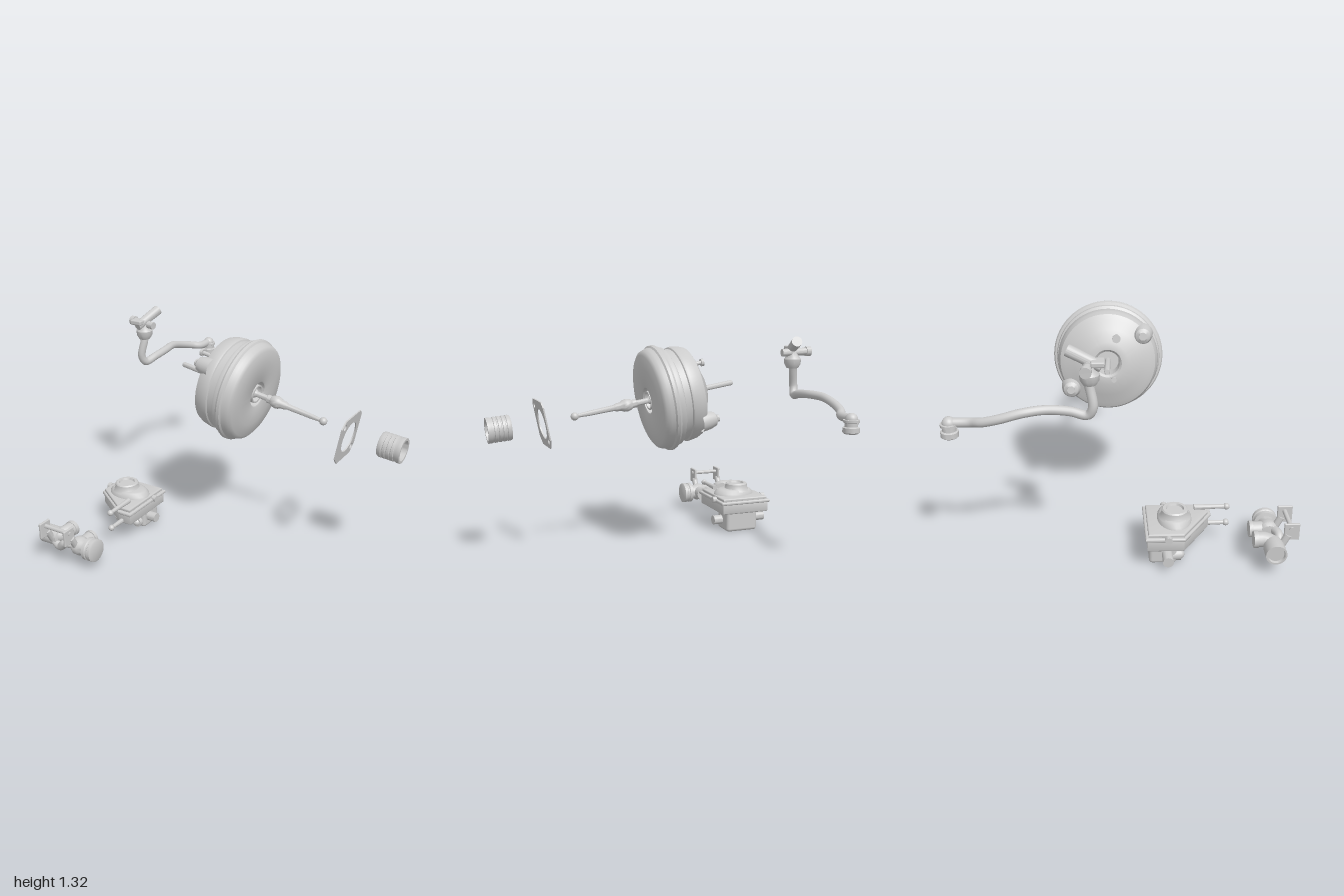
import * as THREE from 'three';
import { toCreasedNormals } from 'three/addons/utils/BufferGeometryUtils.js';
import { RoundedBoxGeometry } from 'three/addons/geometries/RoundedBoxGeometry.js';

const V = (x, y, z) => new THREE.Vector3(x, y, z);
const UP = V(0, 1, 0);
const AXIS = V(0.985, -0.165, 0.035).normalize();
const HUB = V(0, 0.947, -0.067);
const material = new THREE.MeshStandardMaterial({ color: 0xcccccc, side: THREE.DoubleSide });

export function createModel() {
  const root = new THREE.Group();
  let parent = root;
  const section = (name) => {
    parent = new THREE.Group();
    parent.name = name;
    root.add(parent);
  };
  const add = (name, geo, pos = V(0, 0, 0)) => {
    const m = new THREE.Mesh(geo, material);
    m.name = name;
    m.position.copy(pos);
    parent.add(m);
    return m;
  };
  // Revolved part: profile is [radius, distance along dir] from pos
  const turned = (name, profile, pos, dir = UP, seg = 32) => {
    const geo = new THREE.LatheGeometry(profile.map(([r, s]) => new THREE.Vector2(r, s)), seg);
    const m = add(name, toCreasedNormals(geo, 0.6), pos);
    m.quaternion.setFromUnitVectors(UP, dir.clone().normalize());
    return m;
  };
  const rod = (name, a, b, r, r2 = r, seg = 20) => {
    const dir = b.clone().sub(a), l = dir.length();
    return turned(name, [[0, 0], [r, 0], [r2, l], [0, l]], a, dir, seg);
  };
  const pipe = (name, pts, r) =>
    add(name, new THREE.TubeGeometry(new THREE.CatmullRomCurve3(pts.map((p) => V(...p))), 60, r, 16));
  const ball = (name, r, pos) => add(name, new THREE.SphereGeometry(r, 24, 16), pos);
  const box = (name, w, h, d, pos, r = 0.012) => add(name, new RoundedBoxGeometry(w, h, d, 3, r), pos);
  // Point at distance s along the booster axis, offset up and sideways on its face
  const onAxis = (s, dy = 0, dz = 0) => HUB.clone().addScaledVector(AXIS, s).add(V(0.167 * dy, dy, dz));

  // Vacuum drum with pressed ridges and a recess in both faces
  section('booster');
  turned('drum', [
    [0, -0.22], [0.062, -0.22], [0.068, -0.3], [0.08, -0.312], [0.12, -0.312], [0.19, -0.275],
    [0.245, -0.255], [0.272, -0.24], [0.284, -0.212], [0.291, -0.165], [0.288, -0.153], [0.28, -0.148],
    [0.282, -0.11], [0.298, -0.102], [0.302, -0.09], [0.3, -0.072], [0.315, -0.068], [0.322, -0.055],
    [0.32, -0.038], [0.31, -0.03], [0.305, -0.01], [0.296, 0.012], [0.275, 0.026], [0.2, 0.032],
    [0.085, 0.034], [0.078, 0.03], [0.072, -0.06], [0, -0.06],
  ], HUB, AXIS, 72);
  for (const [dy, dz] of [[0.15, 0.2], [-0.15, -0.21]]) {
    turned('mountingBoss', [[0, -0.305], [0.02, -0.305], [0.042, -0.29], [0.055, -0.25], [0.06, -0.2]],
      onAxis(0, dy, dz), AXIS, 24);
    turned('bossRing', [[0.012, -0.315], [0.022, -0.315], [0.022, -0.29]], onAxis(0, dy, dz), AXIS, 16);
  }
  rod('stud', onAxis(-0.37, 0.15, 0.05), onAxis(-0.24, 0.15, 0.05), 0.013);
  rod('studHead', onAxis(-0.376, 0.15, 0.05), onAxis(-0.36, 0.15, 0.05), 0.023);
  rod('lowerStud', onAxis(-0.335, -0.09, 0.035), onAxis(-0.25, -0.09, 0.035), 0.015);
  turned('faceRing', [[0.048, -0.02], [0.058, -0.02], [0.058, 0.02], [0.048, 0.02]], onAxis(0.01), AXIS, 32);

  // Push rod with collar and ball tip
  section('pushRod');
  turned('rod', [
    [0, -0.525], [0.014, -0.525], [0.016, -0.52], [0.016, -0.2], [0.03, -0.19], [0.03, 0.01], [0.017, 0.03],
    [0.017, 0.1], [0.025, 0.105], [0.025, 0.13], [0.033, 0.14], [0.039, 0.165], [0.036, 0.185], [0.025, 0.205],
    [0.025, 0.23], [0.018, 0.245], [0.015, 0.4], [0.011, 0.47], [0, 0.48],
  ], HUB, AXIS, 24);
  ball('ballTip', 0.024, onAxis(0.487));

  // Flange gasket: rounded plate with bore and two bolt holes
  section('gasket');
  const plate = new THREE.Shape();
  const outline = [[-0.105, 0.14], [0.095, 0.14], [0.125, 0.11], [0.125, -0.05], [0.125, -0.085],
    [0.085, -0.14], [-0.095, -0.14], [-0.14, -0.095], [-0.14, 0.1]];
  plate.setFromPoints(outline.map(([x, y]) => new THREE.Vector2(x, y)));
  for (const [x, y, r] of [[0, 0, 0.092], [-0.1, 0.1, 0.018], [0.085, -0.095, 0.018]])
    plate.holes.push(new THREE.Path().absarc(x, y, r, 0, Math.PI * 2, true));
  add('gasketPlate', new THREE.ExtrudeGeometry(plate, { depth: 0.008, bevelEnabled: false, curveSegments: 24 })
    .rotateY(Math.PI / 2).rotateZ(-0.2), V(0.658, 0.828, 0));

  // Open grooved sleeve
  section('sleeve');
  const wall = [[0.06, 0.068], [0.06, -0.068], [0.07, -0.07]];
  for (let i = 0; i < 4; i++) {
    const s = -0.06 + i * 0.025;
    wall.push([0.075, s], [0.075, s + 0.014], [0.071, s + 0.017], [0.071, s + 0.022]);
  }
  wall.push([0.075, 0.045], [0.075, 0.068], [0.06, 0.068]);
  turned('sleeveWall', wall, V(0.925, 0.812, -0.022), V(1, -0.1, 0.02), 40);

  // Vacuum hose with check valve and end cap
  section('vacuumHose');
  pipe('hose', [[-0.885, 1.17, -0.2], [-0.89, 1.1, -0.18], [-0.905, 1.0, -0.165], [-0.895, 0.955, -0.19],
    [-0.88, 0.97, -0.28], [-0.88, 0.98, -0.4], [-0.905, 0.975, -0.52], [-0.91, 0.945, -0.64],
    [-0.89, 0.92, -0.73], [-0.855, 0.905, -0.79], [-0.85, 0.903, -0.9]], 0.025);
  ball('hoseElbow', 0.036, V(-0.85, 0.9, -0.9));
  turned('endCap', [[0, 0], [0.036, 0], [0.047, 0.008], [0.047, 0.035], [0.037, 0.04], [0.037, 0.06],
    [0.046, 0.064], [0.046, 0.078], [0, 0.085]], V(-0.85, 0.82, -0.9));
  turned('valveBody', [[0, 0], [0.035, 0.005], [0.05, 0.03], [0.052, 0.06], [0.035, 0.085], [0.03, 0.13], [0, 0.13]],
    V(-0.885, 1.115, -0.18));
  rod('sidePort', V(-0.995, 1.222, -0.2), V(-0.81, 1.215, -0.18), 0.024);
  rod('portLip', V(-0.995, 1.222, -0.2), V(-0.965, 1.222, -0.197), 0.03);
  rod('outletStub', V(-0.895, 1.215, -0.12), V(-0.85, 1.29, -0.29), 0.028, 0.032);
  box('valveTab', 0.08, 0.03, 0.07, V(-0.9, 1.24, -0.14), 0.008);

  // Fluid reservoir: stacked layers of one five-sided plan
  section('reservoir');
  const layer = (name, inset, y, h) => {
    const c = [-0.74, 0.28], plan = [[-0.9, 0.12], [-0.57, 0.12], [-0.57, 0.485], [-0.65, 0.485], [-0.9, 0.32]];
    const pts = plan.map(([x, z]) => new THREE.Vector2(
      c[0] + (x - c[0]) * inset, -(c[1] + (z - c[1]) * inset)));
    const geo = new THREE.ExtrudeGeometry(new THREE.Shape(pts),
      { depth: h, bevelSize: 0.01, bevelThickness: 0.008, bevelSegments: 3 });
    add(name, toCreasedNormals(geo.rotateX(-Math.PI / 2), 0.6), V(0, y, 0));
  };
  layer('tank', 0.93, 0.135, 0.06);
  layer('rim', 1, 0.2, 0.006);
  layer('lid', 0.9, 0.215, 0.01);
  const dome = turned('dome', [[0.098, 0], [0.095, 0.025], [0.08, 0.045], [0.07, 0.05], [0, 0.05]],
    V(-0.72, 0.22, 0.28));
  dome.scale.x = 1.42;
  turned('fillerCap', [[0.09, 0], [0.075, 0.02], [0.073, 0.045], [0.066, 0.052], [0.05, 0.052], [0.045, 0.04], [0, 0.04]],
    V(-0.74, 0.255, 0.28));
  box('lowerTank', 0.22, 0.15, 0.155, V(-0.72, 0.078, 0.213), 0.02);
  for (const x of [-0.8, -0.655]) {
    rod('feedPort', V(x, 0.045, 0.26), V(x, 0.045, 0.315), 0.033);
    ball('feedPortEnd', 0.025, V(x, 0.045, 0.31));
  }
  for (const s of [-1, 1]) {
    rod('sideEar', V(-0.735 + s * 0.1, 0.07, 0.235), V(-0.735 + s * 0.185, 0.07, 0.235), 0.03);
    rod('sideClip', V(-0.735 + s * 0.165, 0.21, 0.235), V(-0.735 + s * 0.192, 0.21, 0.235), 0.02);
  }
  for (const y of [0.25, 0.145]) {
    rod('hoseNipple', V(-0.638, y, 0.4), V(-0.638, y, 0.6), 0.017, 0.011);
    ball('nippleLip', 0.019, V(-0.638, y, 0.585));
  }

  // Control valve: two stubby housings joined by a linkage
  section('controlValve');
  turned('inletHousing', [[0, 0.015], [0.045, 0.015], [0.048, 0], [0.058, 0], [0.058, 0.08], [0.05, 0.12], [0, 0.14]],
    V(-0.968, 0.135, 0.815), V(1, 0.02, 0));
  pipe('inletElbow', [[-0.9, 0.135, 0.815], [-0.86, 0.145, 0.81], [-0.838, 0.155, 0.77], [-0.835, 0.155, 0.715]], 0.043);
  rod('inletCollar', V(-0.835, 0.155, 0.71), V(-0.835, 0.155, 0.735), 0.047);
  turned('mainHousing', [[0, 0], [0.045, 0.005], [0.058, 0.025], [0.058, 0.06], [0.05, 0.075], [0.05, 0.1],
    [0.07, 0.105], [0.07, 0.125], [0.064, 0.13], [0.064, 0.14], [0.07, 0.145], [0.07, 0.165], [0.06, 0.17], [0, 0.17]],
    V(-0.735, 0.125, 0.82), V(1, 0, 0));
  rod('rearPort', V(-0.69, 0.13, 0.82), V(-0.69, 0.13, 0.71), 0.042);
  rod('rearPortLip', V(-0.69, 0.13, 0.73), V(-0.69, 0.13, 0.71), 0.047);
  pipe('bridge', [[-0.88, 0.12, 0.84], [-0.82, 0.1, 0.855], [-0.77, 0.14, 0.865], [-0.72, 0.14, 0.85]], 0.025);
  for (const x of [-0.88, -0.695]) box('leverPlate', 0.016, 0.1, 0.085, V(x, 0.23, 0.908), 0.005);
  for (const x of [-0.88, -0.695]) rod('leverPost', V(x, 0.13, 0.85), V(x, 0.21, 0.89), 0.02);
  rod('linkRod', V(-0.895, 0.25, 0.905), V(-0.68, 0.25, 0.905), 0.013);

  return root;
}
